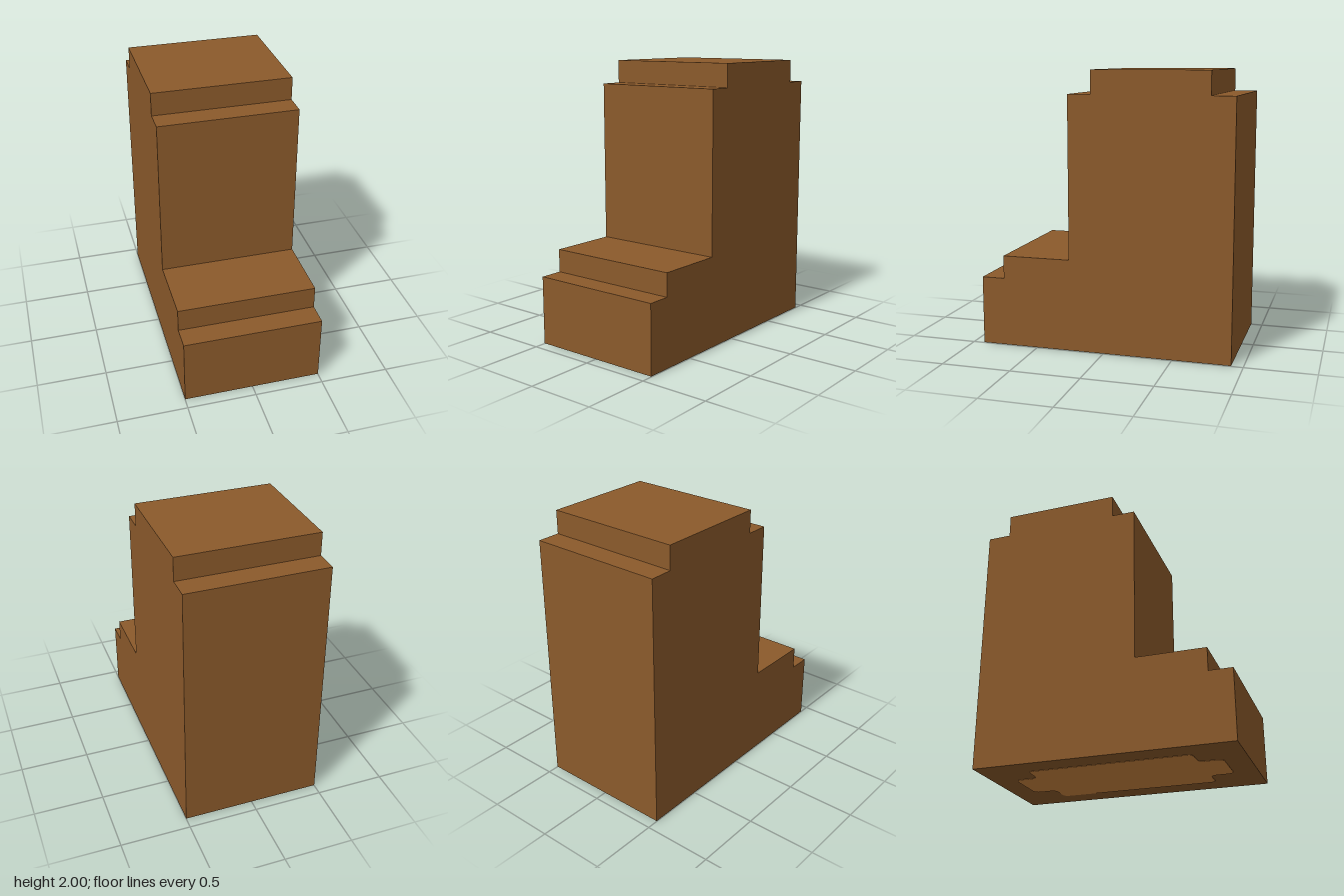
import * as THREE from 'three';

const PAD = 0.003; // thickness of the pad under the block

const brown = new THREE.MeshStandardMaterial({ color: 0x8b5a2b });
brown.name = 'brown';
const lightBrown = new THREE.MeshStandardMaterial({ color: 0xcd853f });
lightBrown.name = 'lightBrown';

// Closed shape whose corners are rounded with radius r
function roundedShape(points, r) {
  const shape = new THREE.Shape();
  const pts = points.map(([x, y]) => new THREE.Vector2(x, y));
  const toward = (a, b) => a.clone().add(b.clone().sub(a).setLength(r));
  pts.forEach((p, i) => {
    const before = toward(p, pts[(i + pts.length - 1) % pts.length]);
    const after = toward(p, pts[(i + 1) % pts.length]);
    if (i === 0) shape.moveTo(before.x, before.y);
    else shape.lineTo(before.x, before.y);
    shape.quadraticCurveTo(p.x, p.y, after.x, after.y);
  });
  shape.closePath();
  return shape;
}

export function createModel() {
  const model = new THREE.Group();
  model.name = 'steppedBlock';

  // Stepped side profile (z, y), extruded across the width
  const profile = [
    [-0.917, PAD], [0.917, PAD], [0.917, 0.5], [0.75, 0.5], [0.75, 0.667], [0.25, 0.667],
    [0.25, 1.833], [0.083, 1.833], [0.083, 2], [-0.75, 2], [-0.75, 1.833], [-0.917, 1.833],
  ].map(([z, y]) => new THREE.Vector2(z, y));
  const bodyGeometry = new THREE.ExtrudeGeometry(new THREE.Shape(profile), { depth: 1, bevelEnabled: false });
  bodyGeometry.translate(0, 0, -0.5).rotateY(-Math.PI / 2);
  const body = new THREE.Mesh(bodyGeometry, brown);
  body.name = 'body';
  model.add(body);

  // Thin pad on the underside: a rectangle with a tab at each end
  const half = [[0.33, -0.583], [0.33, 0.583], [0.167, 0.583], [0.167, 0.75], [-0.167, 0.75], [-0.167, 0.583]];
  const outline = [
    ...half,
    [-0.33, 0.583], [-0.33, -0.583], [-0.167, -0.583], [-0.167, -0.75], [0.167, -0.75], [0.167, -0.583],
  ];
  const padGeometry = new THREE.ExtrudeGeometry(roundedShape(outline, 0.045), {
    depth: PAD, bevelEnabled: false, curveSegments: 5,
  });
  padGeometry.rotateX(Math.PI / 2).translate(0, PAD, 0);
  const pad = new THREE.Mesh(padGeometry, lightBrown);
  pad.name = 'undersidePad';
  model.add(pad);

  return model;
}
